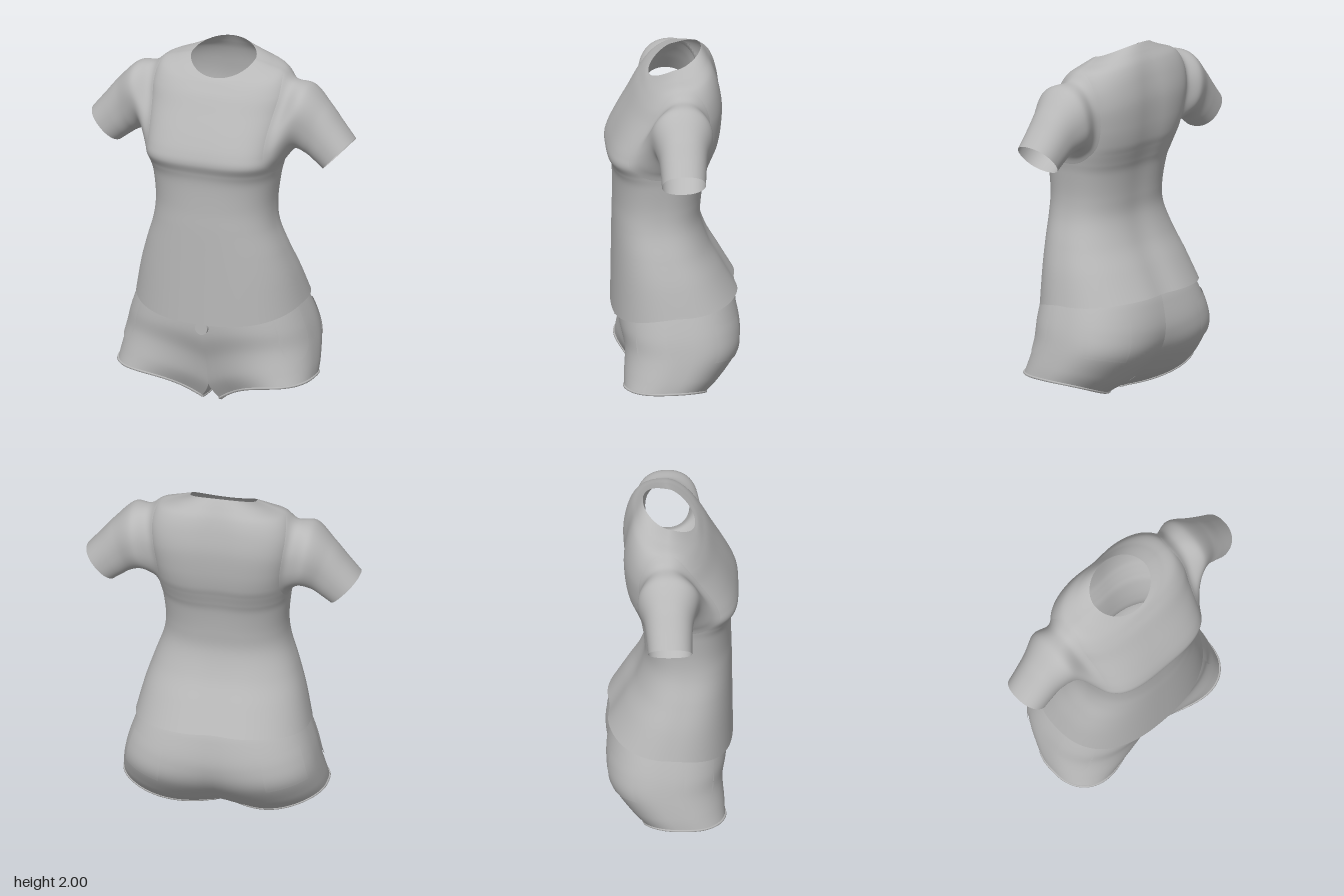
import * as THREE from 'three';

const fabric = new THREE.MeshStandardMaterial({ color: 0xb8b8b8, side: THREE.DoubleSide });
fabric.name = 'grey fabric';

const lerp = THREE.MathUtils.lerp;
const spow = (v, p) => Math.sign(v) * Math.pow(Math.abs(v), p);

// Smooth (Catmull-Rom) blend through a list of section rows; t is a row index
function sampleRows(rows, t) {
  const n = rows.length - 1;
  const i = Math.min(Math.floor(t), n - 1), f = t - i;
  const a = rows[Math.max(i - 1, 0)], b = rows[i], c = rows[i + 1], d = rows[Math.min(i + 2, n)];
  return b.map((_, k) => 0.5 * (2 * b[k] + (c[k] - a[k]) * f
    + (2 * a[k] - 5 * b[k] + 4 * c[k] - d[k]) * f * f
    + (3 * b[k] - a[k] - 3 * c[k] + d[k]) * f * f * f));
}

// Surface from point(u, v) with u, v in 0..1; optionally closed around u
function surface(name, point, nu, nv, { closed = false, flip = false, skip = () => false } = {}) {
  const cols = closed ? nu : nu + 1;
  const pos = [], idx = [];
  for (let j = 0; j <= nv; j++) for (let i = 0; i < cols; i++) pos.push(...point(i / nu, j / nv));
  for (let j = 0; j < nv; j++) for (let i = 0; i < nu; i++) {
    if (skip((i + 0.5) / nu, (j + 0.5) / nv)) continue;
    const k = (i + 1) % cols;
    const a = j * cols + i, b = j * cols + k, c = (j + 1) * cols + k, d = (j + 1) * cols + i;
    if (flip) idx.push(a, c, b, a, d, c);
    else idx.push(a, b, c, a, c, d);
  }
  const geo = new THREE.BufferGeometry();
  geo.setAttribute('position', new THREE.Float32BufferAttribute(pos, 3));
  geo.setIndex(idx);
  geo.computeVertexNormals();
  const mesh = new THREE.Mesh(geo, fabric);
  mesh.name = name;
  return mesh;
}

// Shirt body, top down: yFront, ySide, yBack, halfWidth, zFront, zBack, front and back squareness
const bodyRows = [
  [1.85, 1.935, 2.0, 0.184, 0.13, -0.155, 1, 1],
  [1.835, 1.912, 1.955, 0.27, 0.148, -0.19, 0.93, 0.92],
  [1.805, 1.878, 1.9, 0.36, 0.172, -0.225, 0.86, 0.82],
  [1.76, 1.79, 1.82, 0.4, 0.205, -0.25, 0.8, 0.72],
  [1.68, 1.68, 1.71, 0.4, 0.25, -0.265, 0.74, 0.65],
  [1.57, 1.57, 1.58, 0.385, 0.31, -0.258, 0.66, 0.63],
  [1.48, 1.48, 1.48, 0.375, 0.352, -0.242, 0.61, 0.66],
  [1.42, 1.42, 1.42, 0.37, 0.364, -0.222, 0.6, 0.7],
  [1.36, 1.36, 1.36, 0.358, 0.342, -0.2, 0.68, 0.74],
  [1.29, 1.29, 1.29, 0.346, 0.328, -0.178, 0.76, 0.78],
  [1.15, 1.15, 1.15, 0.335, 0.325, -0.158, 0.82, 0.82],
  [1.03, 1.03, 1.03, 0.348, 0.328, -0.156, 0.83, 0.83],
  [0.88, 0.89, 0.89, 0.395, 0.33, -0.2, 0.84, 0.84],
  [0.72, 0.75, 0.76, 0.44, 0.332, -0.272, 0.84, 0.84],
  [0.49, 0.585, 0.615, 0.48, 0.335, -0.355, 0.83, 0.84],
];
// Angle a runs around from +x to the front; t is the row index
function bodyPoint(a, t) {
  const [yf, ys, yb, w, zf, zb, eFront, eBack] = sampleRows(bodyRows, t);
  const s = Math.sin(a), e = s > 0 ? eFront : eBack;
  const x = w * spow(Math.cos(a), e);
  let z = (zf + zb) / 2 + (zf - zb) / 2 * spow(s, e);
  // shallow groove along the spine
  if (s < 0) z += 0.07 * Math.max(w - 0.2, 0) * Math.exp(-((x / 0.1) ** 2));
  return [x, lerp(ys, s > 0 ? yf : yb, Math.pow(Math.abs(s), 1.3)), z];
}

// Armhole: an oval loop drawn on the shirt body (centre row, row radius, angle radius)
const ARM = { row: 5, rows: 3.1, angle: 0.6 };
const armhole = (a, r) => bodyPoint(ARM.angle * r * Math.sin(a), ARM.row - ARM.rows * r * Math.cos(a));
const inArmhole = (u, v) => {
  const side = Math.asin(Math.sin(u * Math.PI * 2));
  return Math.hypot(side / ARM.angle, (v * (bodyRows.length - 1) - ARM.row) / ARM.rows) < 0.95;
};

// Sleeve, inside out: top x, top y, bottom x, bottom y, zFront, zBack
const sleeveRows = [
  [0.51, 1.825, 0.43, 1.462, 0.15, -0.188],
  [0.615, 1.722, 0.495, 1.445, 0.116, -0.155],
  [0.69, 1.63, 0.55, 1.408, 0.108, -0.142],
  [0.76, 1.545, 0.598, 1.372, 0.106, -0.134],
];
function sleevePoint(u, v) {
  const a = u * Math.PI * 2, h = 0.5 + 0.5 * spow(Math.cos(a), 0.9);
  const rings = sleeveRows.map(([tx, ty, bx, by, zf, zb]) =>
    [lerp(bx, tx, h), lerp(by, ty, h), (zf + zb) / 2 + (zf - zb) / 2 * spow(Math.sin(a), 0.9)]);
  // the sleeve first follows the body, then bends away; the outermost loop only steers it
  const bend = armhole(a, 0.84).map((c, i) => lerp(c, rings[0][i], 0.22));
  const path = [armhole(a, 1.15), armhole(a, 1), bend, ...rings];
  return sampleRows(path, 1 + v * (path.length - 2));
}

// Shorts, top down: drop, halfWidth, zFront, zBack, seam depth, inner x
const shortsRows = [
  [0, 0.425, 0.29, -0.3, 0.03, 0],
  [0.15, 0.46, 0.31, -0.345, 0.05, 0],
  [0.4, 0.505, 0.325, -0.39, 0.1, 0],
  [0.62, 0.532, 0.325, -0.39, 0.22, 0],
  [0.86, 0.553, 0.35, -0.31, 0.42, 0],
  [1, 0.56, 0.36, -0.235, 0.62, 0.052],
];
const CROTCH = 4, TOP = 0.66, INNER = 0.02;
// Angle 0..PI runs front seam, hip, back seam; PI..2PI returns along the inner thigh
function shortsPoint(a, t, grow = 1) {
  const [v, w, zf, zb, k, xi] = sampleRows(shortsRows, t);
  const zc = (zf + zb) / 2, d = (zf - zb) / 2, kBack = k * 1.3;
  if (a <= Math.PI) {
    const s = Math.max(Math.sin(a), 0), c = Math.cos(a), q = Math.pow(s, c > 0 ? 0.8 : 0.9);
    const hem = INNER + 0.155 * lerp(Math.pow(q, 1.3), 1 - Math.pow(1 - q, 2.5), 0.5 + 0.5 * c);
    const z = d * spow(c, 0.78) * (1 - (c > 0 ? k : kBack) * (1 - s) ** 2);
    return [(xi + (w - xi) * q) * grow, lerp(TOP, hem, v), zc + z * grow];
  }
  const b = a / Math.PI - 1;
  const dip = lerp(0.025, 0.012, Math.max(v - 0.86, 0) / 0.14) * Math.sin(Math.PI * b);
  const z = lerp(-d * (1 - kBack), d * (1 - k), 0.5 - 0.5 * Math.cos(Math.PI * b));
  return [xi, lerp(TOP, INNER, v) - dip, zc + z];
}

export function createModel() {
  const model = new THREE.Group();
  model.name = 'shirtAndShorts';
  const shirt = new THREE.Group(), shorts = new THREE.Group();
  shirt.name = 'shirt';
  shorts.name = 'shorts';
  model.add(shirt, shorts);

  shirt.add(surface('shirtBody', (u, v) => bodyPoint(u * Math.PI * 2, v * (bodyRows.length - 1)), 144, 140,
    { closed: true, skip: inArmhole }));

  for (const side of [1, -1]) {
    const label = side > 0 ? 'left' : 'right';
    const flip = side > 0;
    const mirror = ([x, y, z]) => [side * x, y, z];
    shirt.add(surface(label + 'Sleeve', (u, v) => mirror(sleevePoint(u, v)), 72, 50, { closed: true, flip: !flip }));

    // Half of the shorts; the inner thigh only exists below the crotch
    const last = shortsRows.length - 1;
    shorts.add(surface(label + 'Leg', (u, v) => mirror(shortsPoint(u * Math.PI * 2, v * last)), 96, 8 * last,
      { closed: true, flip, skip: (u, v) => u > 0.5 && v * last < CROTCH }));

    // Rolled edge of the leg opening
    const edge = Array.from({ length: 48 }, (_, i) =>
      new THREE.Vector3(...mirror(shortsPoint(i / 48 * Math.PI * 2, last))));
    const hem = new THREE.Mesh(
      new THREE.TubeGeometry(new THREE.CatmullRomCurve3(edge, true), 96, 0.007, 6, true), fabric);
    hem.name = label + 'LegHem';
    shorts.add(hem);

    // Front pocket with a rounded bottom, and a square back pocket
    shorts.add(surface(label + 'FrontPocket', (u, v) => {
      const round = Math.pow(1 - Math.abs(2 * u - 1) ** 3, 0.5);
      return mirror(shortsPoint(lerp(0.85, 1.4, u), 0.9 + v * (1.6 + 1.0 * round), 1.015));
    }, 20, 16, { flip }));
    shorts.add(surface(label + 'BackPocket', (u, v) =>
      mirror(shortsPoint(lerp(1.95, 2.6, u), lerp(1.5, 3.2, v), 1.013)), 16, 16, { flip }));
  }

  // Waist button
  const button = new THREE.Mesh(new THREE.CylinderGeometry(0.036, 0.036, 0.03, 24), fabric);
  button.name = 'waistButton';
  button.rotation.x = Math.PI / 2;
  button.position.set(0, 0.46, 0.3);
  shorts.add(button);

  return model;
}
